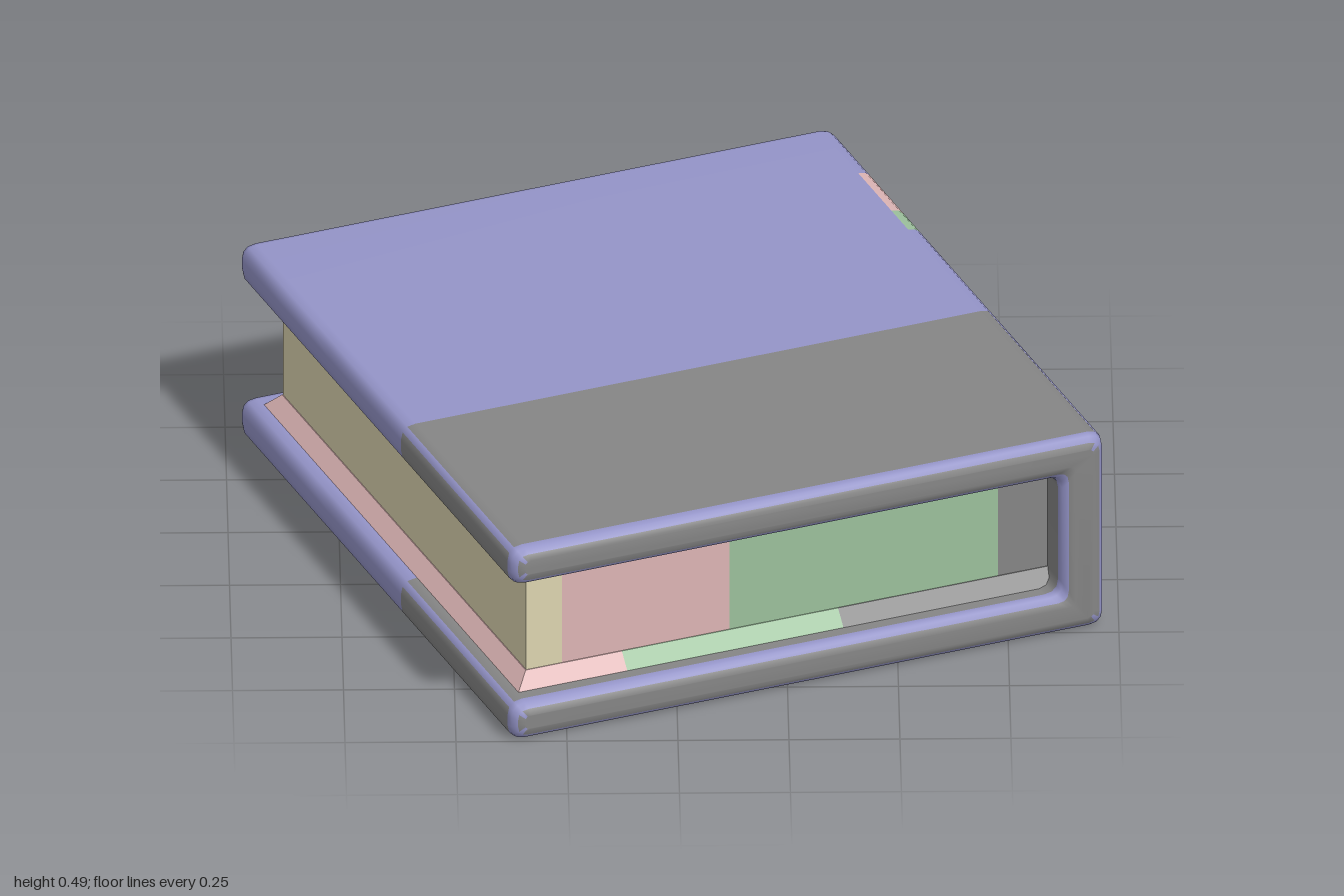
import * as THREE from 'three';

const mat = (name, color) => {
  const m = new THREE.MeshStandardMaterial({ color });
  m.name = name;
  return m;
};

// Cover half sizes, height, slot limits, edge rounding
const W = 0.725, E = 0.8, H = 0.49, LOW = 0.095, HIGH = 0.395, SPINE = 0.62, BEVEL = 0.03;
const SPLIT = 0.15, STEPS = 3;

// C-shaped section with rounded corners, shrunk by d
function section(d) {
  const r = 0.035 - d * 0.65, l = -W + d;
  const corners = [
    [l, d], [W - d, d], [W - d, H - d], [l, H - d],
    [l, HIGH + d], [SPINE + d, HIGH + d], [SPINE + d, LOW - d], [l, LOW - d],
  ].map(([x, y]) => new THREE.Vector2(x, y));
  return corners.flatMap((p, k) => {
    const toward = (q) => q.clone().sub(p).setLength(r).add(p);
    const prev = corners[(k + 7) % 8], next = corners[(k + 1) % 8];
    return new THREE.QuadraticBezierCurve(toward(prev), p, toward(next)).getPoints(STEPS);
  });
}

// One-piece cover lofted along its length, with coloured bands
function makeCover(blue, gray, green, pink) {
  const end = [];
  for (let i = 0; i <= 3; i++) {
    const a = (i / 3) * Math.PI / 2;
    end.push([E - BEVEL + BEVEL * Math.sin(a), BEVEL * (1 - Math.cos(a))]);
  }
  const stations = [
    ...end.slice().reverse().map(([z, d]) => [-z, d]),
    [-0.561, 0], [-0.367, 0], [-0.27, 0], [SPLIT, 0],
    ...end,
  ];
  const rings = stations.map(([, d]) => section(d));
  const n = rings[0].length, last = stations.length - 1;
  const positions = rings.flatMap((ring, j) => ring.flatMap((p) => [p.x, p.y, stations[j][0]]));
  const faces = [[], [], [], []]; // blue, gray, green, pink

  const colourOf = (i, z) => {
    const onSpine = i >= 4 && i <= 10, corner = Math.floor(i / 4);
    if (onSpine && z > -0.561 && z < -0.367) return 3;
    if (onSpine && z > -0.367 && z < -0.27) return 2;
    if (z < SPLIT) return 0;
    const rim = i % 4 === 1 && corner !== 5 && corner !== 6;
    const endRim = z > E - BEVEL && z < E - 0.004;
    return rim || endRim ? 0 : 1;
  };
  for (let j = 0; j < last; j++) {
    const z = (stations[j][0] + stations[j + 1][0]) / 2;
    for (let i = 0; i < n; i++) {
      const k = (i + 1) % n;
      const a = j * n + i, b = j * n + k, c = b + n, d = a + n;
      faces[colourOf(i, z)].push(a, b, c, a, c, d);
    }
  }
  // Flat head and tail ends
  for (const [a, b, c] of THREE.ShapeUtils.triangulateShape(rings[0], [])) {
    faces[0].push(c, b, a);
    faces[1].push(a + last * n, b + last * n, c + last * n);
  }

  const geo = new THREE.BufferGeometry();
  geo.setAttribute('position', new THREE.Float32BufferAttribute(positions, 3));
  geo.setIndex(faces.flat());
  let start = 0;
  faces.forEach((f, m) => {
    geo.addGroup(start, f.length, m);
    start += f.length;
  });
  geo.computeVertexNormals();
  const mesh = new THREE.Mesh(geo, [blue, gray, green, pink]);
  mesh.name = 'cover';
  return mesh;
}

export function createModel() {
  const blue = mat('cover blue', 0x9494c8);
  const gray = mat('cover gray', 0x858585);
  const green = mat('band green', 0x9cc09c);
  const pink = mat('band pink', 0xdcb4b4);
  const cream = mat('page cream', 0xdcd4b0);

  const book = new THREE.Group();
  book.name = 'book';
  book.add(makeCover(blue, gray, green, pink));

  // Page block in colour bands from the fore edge to the spine
  const pages = new THREE.Group();
  pages.name = 'pages';
  const edges = [-0.653, -0.566, -0.156, 0.5, 0.64];
  [cream, pink, green, gray].forEach((m, i) => {
    const w = edges[i + 1] - edges[i];
    const slice = new THREE.Mesh(new THREE.BoxGeometry(w, 0.32, 1.414), m);
    slice.position.set(edges[i] + w / 2, H / 2, 0);
    slice.name = 'pageBand';
    pages.add(slice);
  });
  book.add(pages);

  // Sloped endpapers joining the pages to both boards
  const ledges = [-0.69, -0.42, 0.108, 0.64];
  for (const side of [1, -1]) {
    [pink, green, gray].forEach((m, i) => {
      const w = ledges[i + 1] - ledges[i];
      const geo = new THREE.BoxGeometry(w, 0.04, 1.49);
      geo.translate(ledges[i] + w / 2, -0.135, 0);
      const p = geo.attributes.position;
      for (let v = 0; v < p.count; v++) {
        if (p.getY(v) < -0.135) continue;
        p.setZ(v, Math.sign(p.getZ(v)) * 0.709);
        if (p.getX(v) < -0.68) p.setX(v, -0.655);
      }
      geo.computeVertexNormals();
      const ledge = new THREE.Mesh(geo, m);
      ledge.position.y = H / 2;
      ledge.rotation.x = side > 0 ? 0 : Math.PI;
      ledge.name = 'endpaper';
      book.add(ledge);
    });
  }

  book.rotation.y = THREE.MathUtils.degToRad(22);
  const model = new THREE.Group();
  model.name = 'closedBook';
  model.add(book);
  return model;
}
